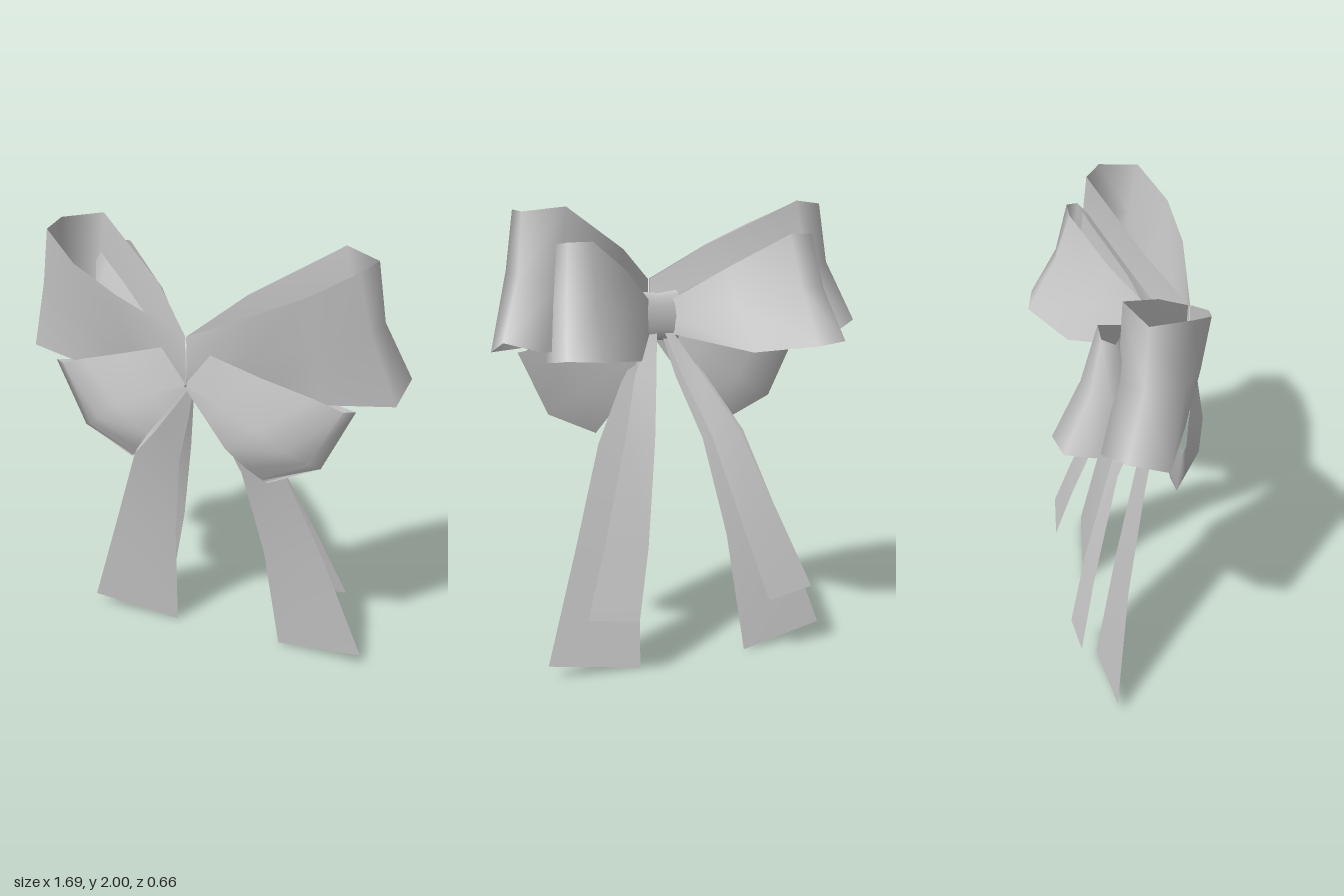
import * as THREE from 'three';

const material = new THREE.MeshStandardMaterial({ color: 0xcccccc, side: THREE.DoubleSide });

// Cloth strip skinned between rows of points; all rows run along the ribbon.
function ribbon(name, rows, side) {
  const cols = rows[0].length;
  const positions = [];
  const index = [];
  for (const row of rows) for (const [x, y, z] of row) positions.push(x * side, y, z);
  for (let r = 0; r < rows.length - 1; r++) {
    for (let c = 0; c < cols - 1; c++) {
      const a = r * cols + c, b = a + 1, d = a + cols, e = d + 1;
      if (side > 0) index.push(a, d, b, b, d, e);
      else index.push(a, b, d, b, e, d);
    }
  }
  const geometry = new THREE.BufferGeometry();
  geometry.setAttribute('position', new THREE.Float32BufferAttribute(positions, 3));
  geometry.setIndex(index);
  geometry.computeVertexNormals();
  const mesh = new THREE.Mesh(geometry, material);
  mesh.name = name;
  return mesh;
}

// Each loop: upper edge, middle, lower edge, from front centre round to back centre.
const upperLoop = [
  [[0.005, 1.65, 0.31], [0.3, 1.79, 0.328], [0.51, 1.885, 0.295], [0.69, 1.98, 0.19],
    [0.715, 1.98, 0.02], [0.55, 2.0, -0.055], [0.2, 1.8, 0.14], [0.005, 1.65, 0.30]],
  [[0.005, 1.53, 0.305], [0.29, 1.6, 0.285], [0.53, 1.66, 0.255], [0.735, 1.73, 0.16],
    [0.745, 1.72, 0.0], [0.6, 1.68, -0.08], [0.25, 1.58, 0.12], [0.005, 1.53, 0.295]],
  [[0.005, 1.43, 0.30], [0.28, 1.40, 0.22], [0.55, 1.40, 0.195], [0.835, 1.40, 0.09],
    [0.845, 1.46, -0.08], [0.70, 1.42, -0.16], [0.3, 1.42, 0.07], [0.005, 1.43, 0.295]],
];

const lowerLoopFront = [
  [[0.005, 1.45, 0.31], [0.11, 1.585, 0.305], [0.32, 1.51, 0.275], [0.53, 1.43, 0.215], [0.645, 1.38, 0.185]],
  [[0.005, 1.435, 0.31], [0.15, 1.38, 0.32], [0.32, 1.29, 0.315], [0.43, 1.2, 0.28], [0.5, 1.13, 0.21]],
  [[0, 1.42, 0.31], [0.09, 1.3, 0.31], [0.18, 1.18, 0.31], [0.25, 1.085, 0.26], [0.3, 1.015, 0.205]],
];

const lowerLoopBack = [
  [[0.645, 1.38, 0.185], [0.69, 1.38, 0.16], [0.5, 1.41, 0.145], [0.25, 1.44, 0.17], [0.01, 1.45, 0.21]],
  [[0.5, 1.13, 0.21], [0.55, 1.10, 0.17], [0.38, 1.2, 0.15], [0.18, 1.32, 0.16], [0.01, 1.42, 0.21]],
  [[0.3, 1.015, 0.205], [0.32, 0.995, 0.185], [0.22, 1.12, 0.16], [0.11, 1.27, 0.17], [0.01, 1.41, 0.21]],
];

const backLoop = [
  [[0.06, 1.57, 0.21], [0.3, 1.71, 0.07], [0.52, 1.84, -0.055], [0.61, 1.85, -0.09],
    [0.58, 1.86, -0.14], [0.47, 1.86, -0.14], [0.25, 1.72, 0.0], [0.06, 1.57, 0.18]],
  [[0.06, 1.48, 0.21], [0.3, 1.54, 0.12], [0.58, 1.6, -0.005], [0.635, 1.62, -0.11],
    [0.61, 1.63, -0.19], [0.49, 1.63, -0.21], [0.25, 1.55, -0.06], [0.06, 1.48, 0.18]],
  [[0.06, 1.41, 0.21], [0.3, 1.36, 0.14], [0.62, 1.35, 0.02], [0.67, 1.38, -0.18],
    [0.66, 1.40, -0.30], [0.51, 1.39, -0.33], [0.27, 1.36, -0.18], [0.06, 1.41, 0.18]],
];

// Each tail: inner edge, outer edge, from the knot down.
const frontTail = [
  [[0.01, 1.42, 0.2], [0.06, 1.22, 0.15], [0.15, 0.95, 0.065], [0.22, 0.52, -0.035], [0.26, 0.0, -0.13]],
  [[0.06, 1.42, 0.2], [0.21, 1.22, 0.15], [0.36, 0.97, 0.07], [0.51, 0.55, -0.02], [0.675, 0.06, -0.09]],
];

const backTail = [
  [[0.02, 1.42, 0.18], [0.06, 1.25, 0.105], [0.14, 0.98, -0.04], [0.24, 0.55, -0.175], [0.32, 0.255, -0.25]],
  [[0.06, 1.42, 0.18], [0.16, 1.25, 0.115], [0.28, 1.0, -0.035], [0.44, 0.57, -0.16], [0.55, 0.285, -0.23]],
];

export function createModel() {
  const group = new THREE.Group();
  group.name = 'ribbonBow';

  for (const [label, side] of [['left', 1], ['right', -1]]) {
    const half = new THREE.Group();
    half.name = label + 'Half';
    half.add(
      ribbon('upperLoop', upperLoop, side),
      ribbon('lowerLoopFront', lowerLoopFront, side),
      ribbon('lowerLoopBack', lowerLoopBack, side),
      ribbon('backLoop', backLoop, side),
      ribbon('frontTail', frontTail, side),
      ribbon('backTail', backTail, side),
    );
    group.add(half);
  }

  // Band wrapped round the middle, slightly waisted and flattened front to back
  const profile = [[0.115, -0.09], [0.105, 0], [0.115, 0.09]].map(([r, h]) => new THREE.Vector2(r, h));
  const knotGeometry = new THREE.LatheGeometry(profile, 12);
  knotGeometry.rotateZ(Math.PI / 2);
  knotGeometry.scale(1, 1, 0.34);
  const knot = new THREE.Mesh(knotGeometry, material);
  knot.name = 'knot';
  knot.position.set(0, 1.49, 0.205);
  group.add(knot);

  return group;
}
